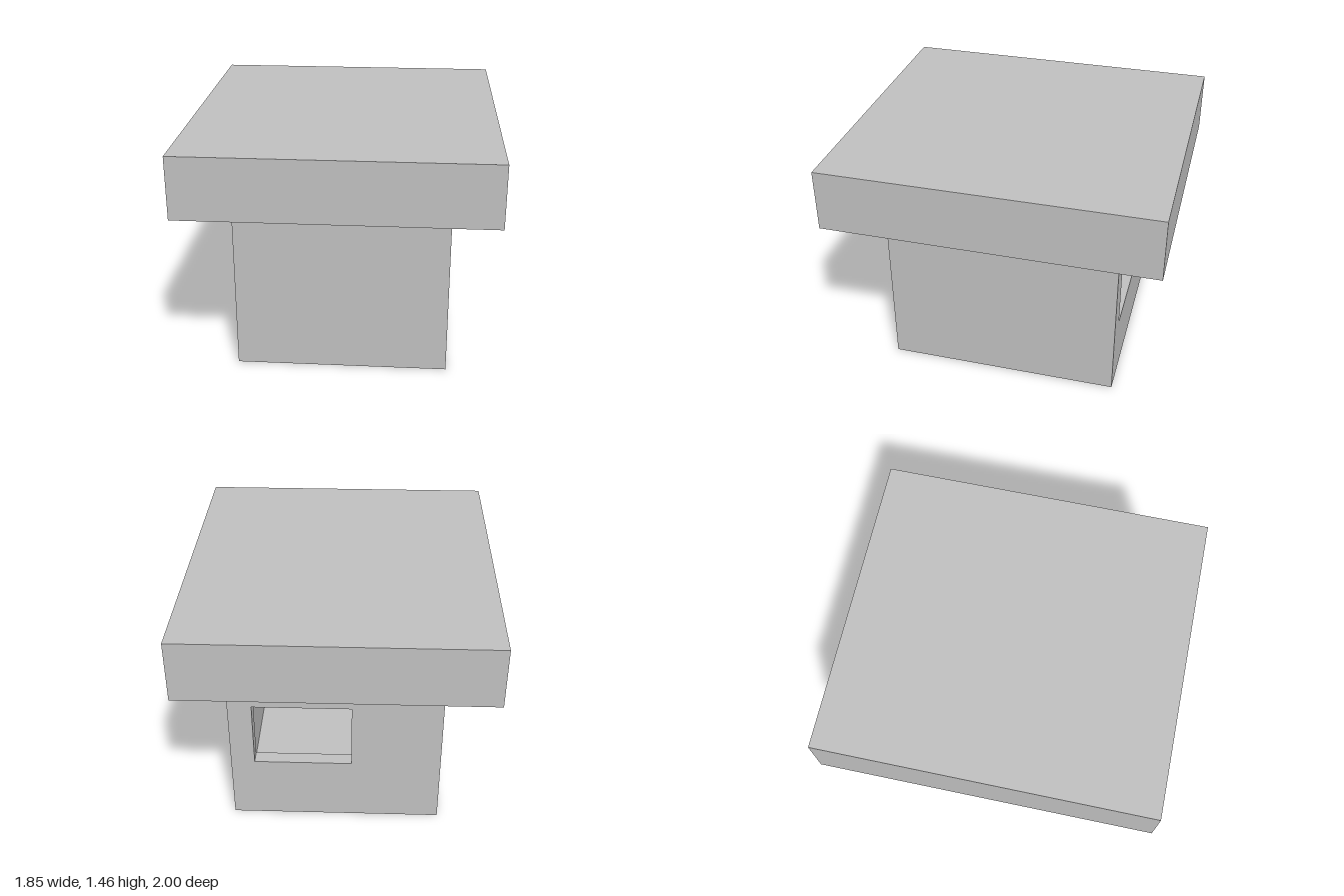
import * as THREE from 'three';

const concrete = new THREE.MeshStandardMaterial({ color: 0xc0c0c0 });
concrete.name = 'concrete';
const wood = new THREE.MeshStandardMaterial({ color: 0xb5925f });
wood.name = 'wood';
const groove = new THREE.MeshStandardMaterial({ color: 0x6e5636 });
groove.name = 'groove';
const metal = new THREE.MeshStandardMaterial({ color: 0x8c8c8c });
metal.name = 'metal';

// Outer wall limits, wall thickness and heights
const X0 = -0.63, X1 = 0.655, Z0 = -0.725, Z1 = 0.7;
const T = 0.087, H = 1.08;
// Door opening on the -x wall
const D0 = 0.165, D1 = 0.57, DH = 0.9, JAMB = 0.017;

function box(name, mat, [x0, x1], [y0, y1], [z0, z1]) {
  const mesh = new THREE.Mesh(new THREE.BoxGeometry(x1 - x0, y1 - y0, z1 - z0), mat);
  mesh.position.set((x0 + x1) / 2, (y0 + y1) / 2, (z0 + z1) / 2);
  mesh.name = name;
  return mesh;
}

// Round bar pointing out of the door along x
function peg(name, radius, [x0, x1], y, z) {
  const geo = new THREE.CylinderGeometry(radius, radius, x1 - x0, 16).rotateZ(Math.PI / 2);
  const mesh = new THREE.Mesh(geo, metal);
  mesh.position.set((x0 + x1) / 2, y, z);
  mesh.name = name;
  return mesh;
}

const points = (list) => list.map(([x, y]) => new THREE.Vector2(x, y));

function wallSlab(name, outline, hole) {
  const shape = new THREE.Shape(points(outline));
  if (hole) shape.holes.push(new THREE.Path(points(hole)));
  const mesh = new THREE.Mesh(
    new THREE.ExtrudeGeometry(shape, { depth: T, bevelEnabled: false }), concrete);
  mesh.name = name;
  return mesh;
}

function buildWalls() {
  const walls = new THREE.Group();
  walls.name = 'walls';
  walls.add(box('frontWall', concrete, [X0, X1], [0, H], [Z1 - T, Z1]));
  walls.add(box('leftWall', concrete, [X1 - T, X1], [0, H], [Z0 + T, Z1 - T]));

  // Back wall with the window opening
  const back = wallSlab('backWall',
    [[X0, 0], [X1, 0], [X1, H], [X0, H]],
    [[-0.085, 0.413], [-0.085, 0.833], [0.51, 0.833], [0.51, 0.413]]);
  back.position.z = Z0;
  walls.add(back);

  // Right wall with the doorway, outlined in (z, y)
  const right = wallSlab('rightWall', [
    [Z0 + T, 0], [D0, 0], [D0, DH], [D1, DH], [D1, 0],
    [Z1 - T, 0], [Z1 - T, H], [Z0 + T, H],
  ]);
  right.geometry.rotateY(-Math.PI / 2);
  right.position.x = X0 + T;
  walls.add(right);

  walls.add(box('floor', concrete, [X0 + T, X1 - T], [0, 0.075], [Z0 + T, Z1 - T]));
  return walls;
}

function buildDoor() {
  const door = new THREE.Group();
  door.name = 'door';
  const frameX = [-0.641, X0 + T];
  const face = -0.628;

  // Frame and leaf
  door.add(box('backJamb', wood, frameX, [0, DH], [D0, D0 + JAMB]));
  door.add(box('frontJamb', wood, frameX, [0, DH], [D1 - JAMB, D1]));
  door.add(box('doorHead', wood, frameX, [DH - JAMB, DH], [D0 + JAMB, D1 - JAMB]));
  door.add(box('doorLeaf', wood, [face, -0.56], [0, DH - JAMB], [D0 + JAMB, D1 - JAMB]));

  // Five horizontal grooves
  for (let i = 1; i <= 5; i++) {
    const y = i * 0.143;
    door.add(box('doorGroove', groove, [face - 0.001, face], [y - 0.003, y + 0.003], [0.268, 0.485]));
  }

  // Lever handle and keyhole
  const handle = new THREE.Group();
  handle.name = 'doorHandle';
  handle.add(peg('handleRose', 0.012, [face - 0.004, face], 0.396, 0.212));
  handle.add(peg('handleSpindle', 0.004, [-0.662, face], 0.396, 0.212));
  handle.add(box('handleLever', metal, [-0.664, -0.656], [0.392, 0.4], [0.206, 0.285]));
  handle.add(peg('keyhole', 0.008, [-0.66, face], 0.365, 0.212));
  door.add(handle);
  return door;
}

export function createModel() {
  const model = new THREE.Group();
  model.name = 'hut';
  model.add(buildWalls());
  model.add(box('roof', concrete, [-0.923, 0.923], [H, 1.455], [-1, 1]));
  model.add(buildDoor());
  return model;
}
